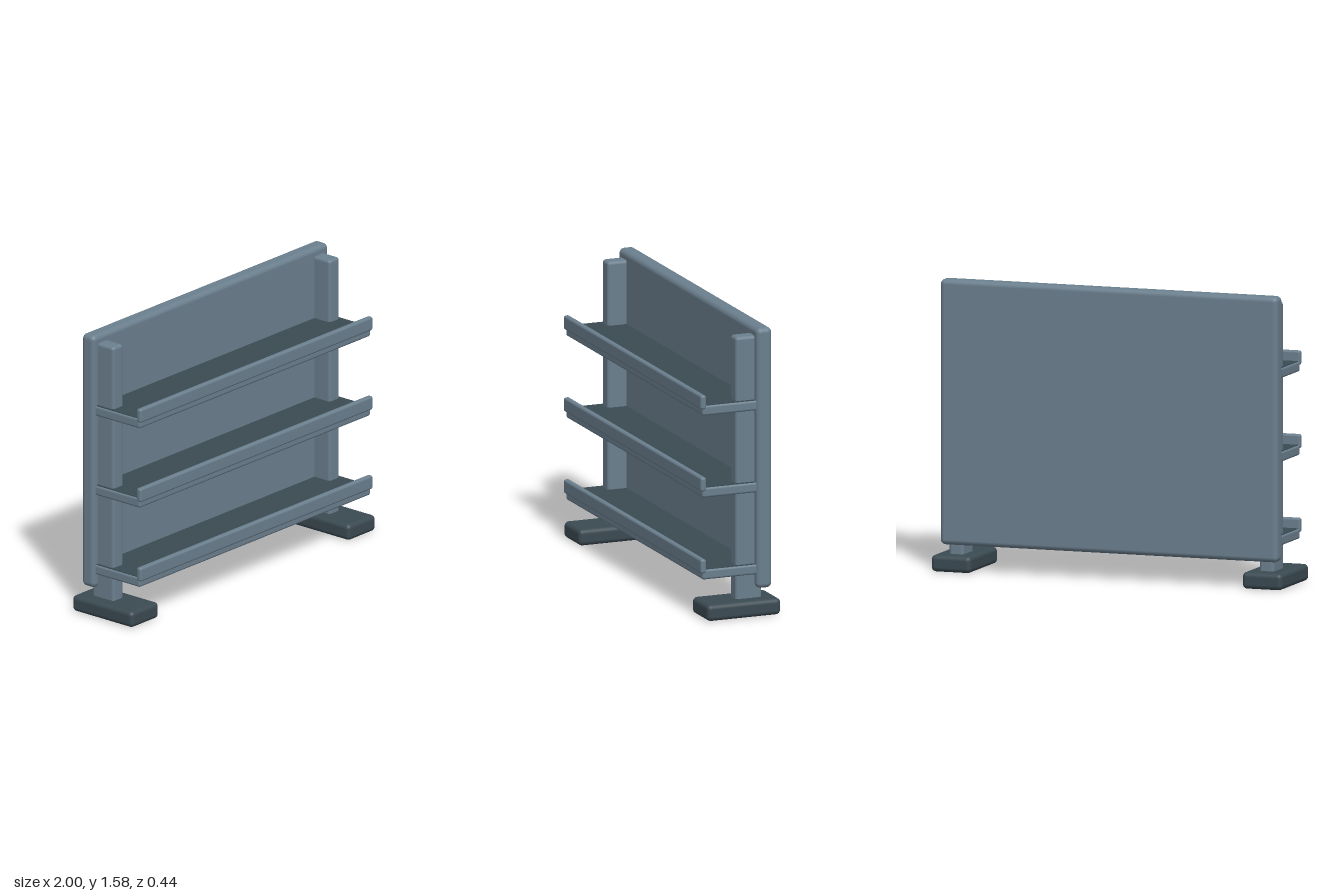
import * as THREE from 'three';
import { RoundedBoxGeometry } from 'three/addons/geometries/RoundedBoxGeometry.js';

export function createModel() {
  const model = new THREE.Group();
  model.name = 'shelfUnit';
  const steel = new THREE.MeshStandardMaterial({ name: 'blueGreySteel', color: 0x6b7f8e });
  const dark = new THREE.MeshStandardMaterial({ name: 'darkSlate', color: 0x3b4a52 });

  // Rounded block given by its min and max on each axis
  function block(name, material, [x0, x1], [y0, y1], [z0, z1], radius) {
    const geometry = new RoundedBoxGeometry(x1 - x0, y1 - y0, z1 - z0, 3, radius);
    const mesh = new THREE.Mesh(geometry, material);
    mesh.name = name;
    mesh.position.set((x0 + x1) / 2, (y0 + y1) / 2, (z0 + z1) / 2);
    model.add(mesh);
    return mesh;
  }

  // Back panel
  block('backPanel', steel, [-0.962, 0.962], [0.143, 1.575], [-0.188, -0.098], 0.028);

  // Feet and upright posts on both sides
  for (const [side, s] of [['left', 1], ['right', -1]]) {
    const span = (a, b) => (s > 0 ? [a, b] : [-b, -a]);
    block(side + 'Foot', dark, span(0.773, 1), [0, 0.09], [-0.222, 0.203], 0.025);
    block(side + 'Post', steel, span(0.842, 0.926), [0.03, 1.53], [-0.142, 0.01], 0.018);
  }

  // Three shelves, each with a dark top surface and a raised front lip
  ['lower', 'middle', 'upper'].forEach((level, i) => {
    const y = 0.22 + i * 0.451;
    block(level + 'Shelf', steel, [-0.945, 0.945], [y, y + 0.056], [-0.13, 0.211], 0.013);
    block(level + 'ShelfLip', steel, [-0.95, 0.95], [y + 0.036, y + 0.113], [0.19, 0.223], 0.012);

    const top = new THREE.Mesh(new THREE.BoxGeometry(1.876, 0.004, 0.3), dark);
    top.name = level + 'ShelfTop';
    top.position.set(0, y + 0.056, 0.045);
    model.add(top);
  });

  return model;
}
